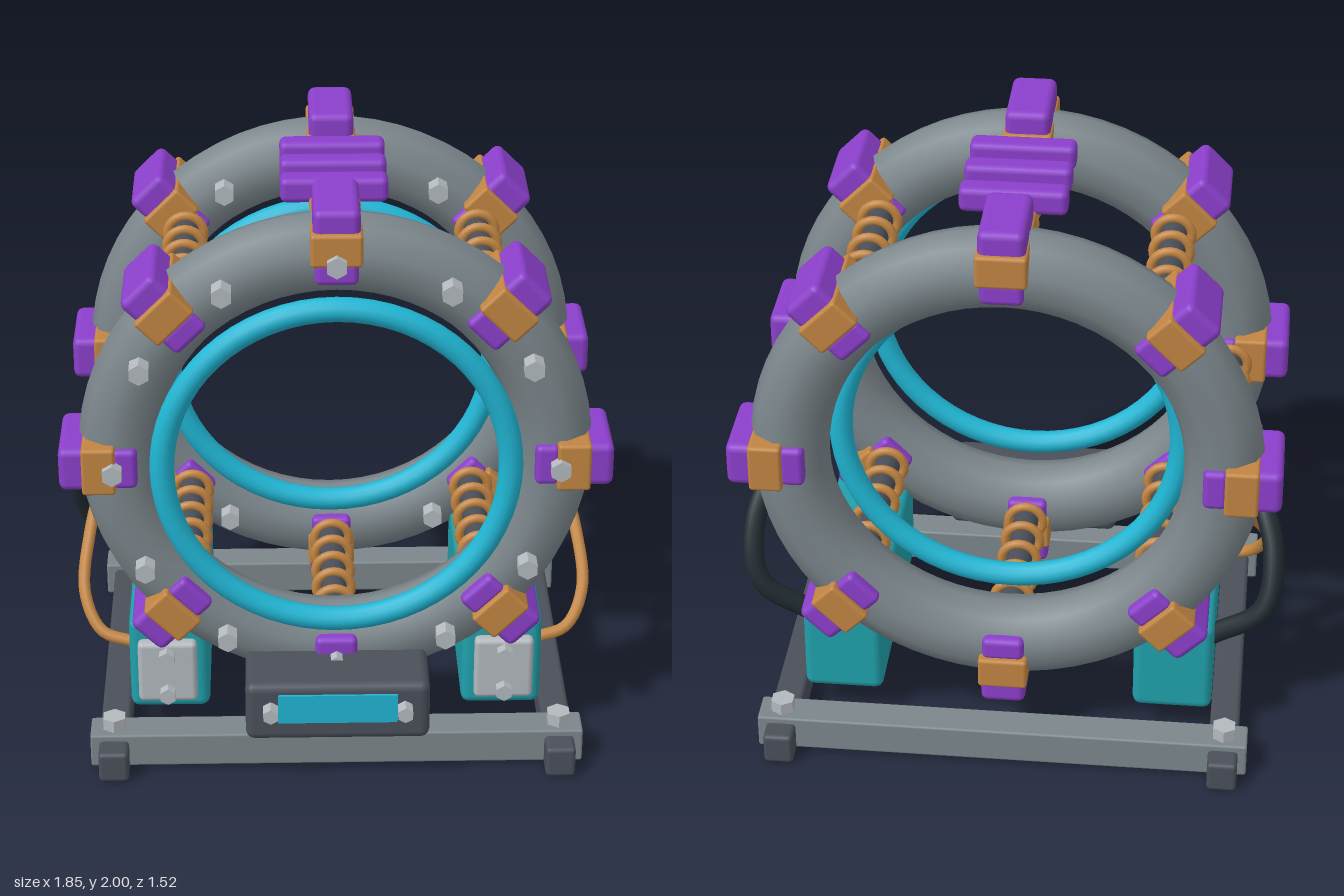
import * as THREE from 'three';
import { RoundedBoxGeometry } from 'three/addons/geometries/RoundedBoxGeometry.js';

const paint = (name, color) => {
  const m = new THREE.MeshStandardMaterial({ color });
  m.name = name;
  return m;
};

export function createModel() {
  const model = new THREE.Group();
  model.name = 'ringMachine';

  const steel = paint('steelGrey', 0x7b868b);
  const dark = paint('darkGrey', 0x4a4f59);
  const silver = paint('silver', 0xb3b9be);
  const purple = paint('purple', 0x8b3fcb);
  const copper = paint('copper', 0xc28542);
  const teal = paint('teal', 0x20a0ab);
  const cyan = paint('cyan', 0x20b6d4);
  const rubber = paint('blackRubber', 0x1f2a30);

  const add = (name, geo, mat, x = 0, y = 0, z = 0, parent = model) => {
    const mesh = new THREE.Mesh(geo, mat);
    mesh.name = name;
    mesh.position.set(x, y, z);
    parent.add(mesh);
    return mesh;
  };
  const block = (w, h, d, r = 0.02) => new RoundedBoxGeometry(w, h, d, 2, r);
  // Faceted hexagonal bolt with its axis along z
  const hex = (r, len) => {
    const g = new THREE.CylinderGeometry(r, r, len, 6).rotateX(Math.PI / 2).toNonIndexed();
    g.computeVertexNormals();
    return g;
  };

  const centreY = 1.1;
  const frontZ = 0.37, backZ = -0.46;

  // Two large rings, each with trim, clamps and bolts
  const ringGeo = new THREE.TorusGeometry(0.71, 0.13, 10, 64);
  const trimGeo = new THREE.TorusGeometry(0.565, 0.04, 12, 64);
  const padGeo = block(0.12, 0.15, 0.29, 0.025);
  const bandGeo = block(0.11, 0.165, 0.325, 0.012);
  const innerPadGeo = block(0.08, 0.14, 0.29, 0.02);
  const boltGeo = hex(0.036, 0.07);
  for (const [name, z] of [['frontRing', frontZ], ['backRing', backZ]]) {
    const ring = new THREE.Group();
    ring.name = name;
    ring.position.set(0, centreY, z);
    model.add(ring);
    add('ringTube', ringGeo, steel, 0, 0, 0, ring);
    add('ringTrim', trimGeo, cyan, 0, 0, 0.138, ring);
    for (let i = 0; i < 8; i++) {
      const clamp = new THREE.Group();
      clamp.name = 'clamp';
      clamp.rotation.z = i * Math.PI / 4;
      ring.add(clamp);
      add('outerPad', padGeo, purple, 0.84, 0, 0, clamp);
      add('clampBand', bandGeo, copper, 0.77, 0, 0, clamp);
      add('innerPad', innerPadGeo, purple, 0.685, 0, 0, clamp);
    }
    for (let i = 0; i < 12; i++) {
      const a = i * Math.PI / 6;
      add('ringBolt', boltGeo, silver, Math.cos(a) * 0.725, Math.sin(a) * 0.725, 0.151, ring);
    }
  }

  // Connecting rods with coil rings
  const rodGeo = new THREE.CylinderGeometry(0.045, 0.045, 0.72, 16).rotateX(Math.PI / 2);
  const coilGeo = new THREE.TorusGeometry(0.062, 0.016, 8, 24);
  for (let i = 0; i < 8; i++) {
    const a = i * Math.PI / 4;
    const x = Math.cos(a) * 0.7, y = centreY + Math.sin(a) * 0.7;
    add('connectingRod', rodGeo, dark, x, y, -0.045);
    for (let k = -2; k <= 2; k++) add('coil', coilGeo, copper, x, y, -0.042 + k * 0.116);
  }

  // Three bars across the top
  for (let k = -1; k <= 1; k++) {
    add('topBar', block(0.35, 0.085, 0.085, 0.022), purple, 0, 1.917, -0.047 + k * 0.158);
  }

  // Base frame
  for (const z of [0.53, -0.62]) {
    add('crossBeam', block(1.66, 0.12, 0.12, 0.008), steel, 0, 0.072, z);
  }
  for (const s of [-1, 1]) {
    add('sideBeam', block(0.1, 0.11, 1.43, 0.015), dark, s * 0.75, 0.056, -0.042);
    for (const z of [0.53, -0.62]) {
      const bolt = add('frameBolt', hex(0.042, 0.06), silver, s * 0.75, 0.145, z);
      bolt.rotation.x = -Math.PI / 2;
    }
  }

  // Side housings with front plates, hoses and wires
  for (const s of [-1, 1]) {
    add('sideHousing', block(0.27, 0.345, 0.85, 0.03), teal, s * 0.565, 0.283, -0.04);
    add('housingPlate', block(0.2, 0.23, 0.05, 0.018), silver, s * 0.57, 0.28, 0.41);
    for (const y of [0.207, 0.352]) add('plateBolt', hex(0.03, 0.05), silver, s * 0.57, y, 0.446);

    const pipe = (name, mat, r, pts) => {
      const path = new THREE.CatmullRomCurve3(pts.map(([x, y, z]) => new THREE.Vector3(s * x, y, z)));
      add(name, new THREE.TubeGeometry(path, 32, r, 10), mat);
      // End caps facing outwards along the path
      for (const [t, dir] of [[0, -1], [1, 1]]) {
        const p = path.getPointAt(t);
        const cap = add(name + 'End', new THREE.CircleGeometry(r, 10), mat, p.x, p.y, p.z);
        cap.lookAt(p.clone().addScaledVector(path.getTangentAt(t), dir));
      }
    };
    pipe('hose', rubber, 0.036, [
      [0.7, 0.9, 0.16], [0.765, 0.875, 0], [0.835, 0.79, -0.16],
      [0.885, 0.65, -0.27], [0.86, 0.47, -0.35], [0.69, 0.34, -0.335]]);
    pipe('wire', copper, 0.021, [
      [0.69, 0.285, 0.235], [0.8, 0.315, 0.21], [0.86, 0.42, 0.13],
      [0.845, 0.58, -0.02], [0.79, 0.75, -0.2]]);
  }

  // Front control box with screen
  add('controlBox', block(0.61, 0.215, 0.25, 0.03), dark, 0, 0.292, 0.587);
  add('screen', new THREE.BoxGeometry(0.395, 0.105, 0.009), cyan, 0, 0.312, 0.716);
  for (const s of [-1, 1]) add('controlBolt', hex(0.028, 0.06), silver, s * 0.222, 0.31, 0.732);

  return model;
}
